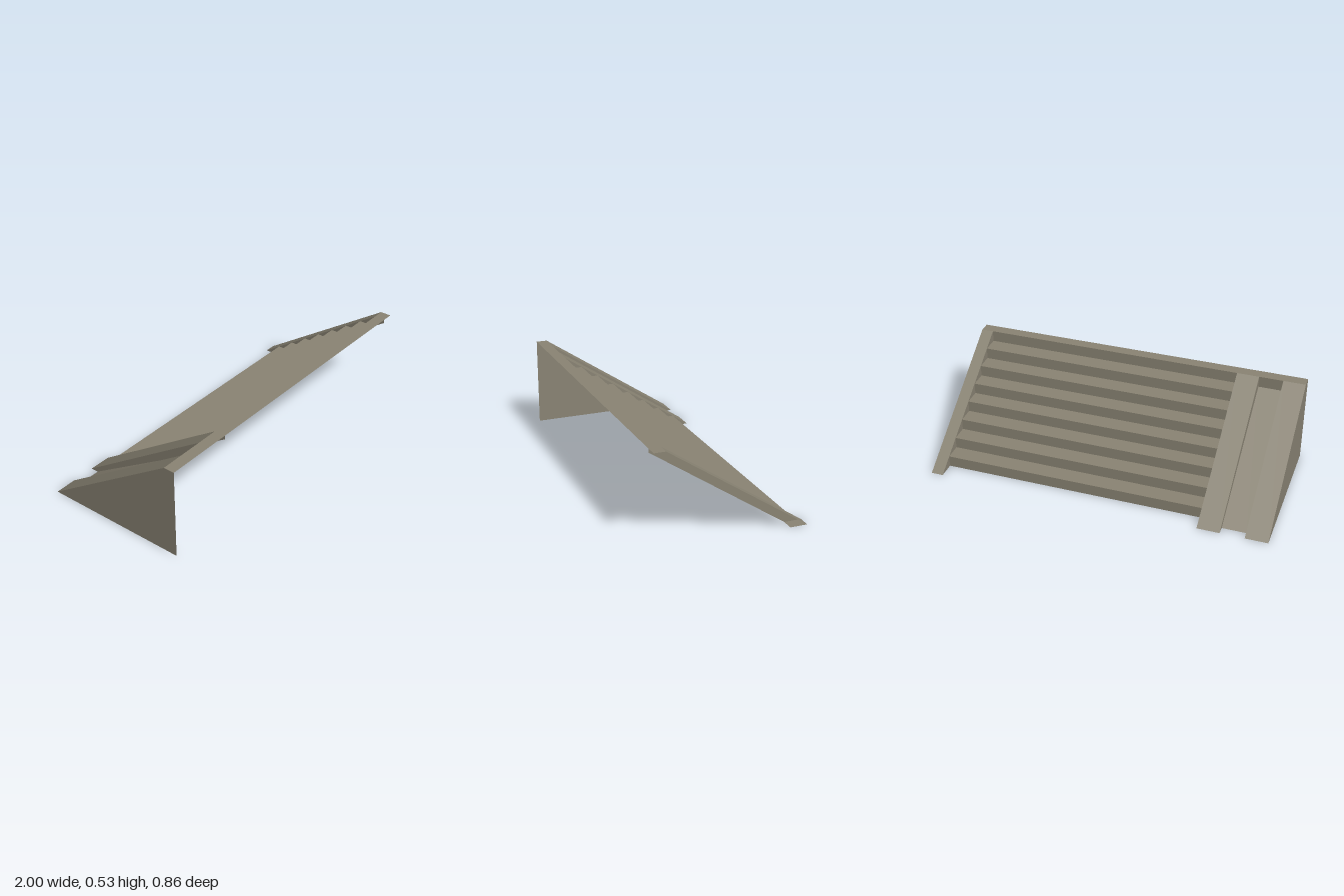
import * as THREE from 'three';

const H = 0.533;        // total height
const BACK = -0.432;    // foot of the slope
const FRONT = 0.432;    // front edge of the top lip
const LIP = 0.367;      // where the slope meets the lip
const FOOT = -0.333;    // foot of the first riser
const GROOVE = -0.385;  // foot of the groove floor
const STEPS = 8;

export function createModel() {
  const group = new THREE.Group();
  const stone = new THREE.MeshStandardMaterial({ color: 0x8a8474, side: THREE.DoubleSide });
  stone.name = 'stone';

  const add = (name, geometry) => {
    const mesh = new THREE.Mesh(geometry, stone);
    mesh.name = name;
    group.add(mesh);
  };

  // Sweeps a [z, y] profile from x0 to x1 as a flat-faced sheet facing up and back
  const sheet = (name, profile, x0, x1) => {
    const pos = [];
    for (let i = 0; i < profile.length - 1; i++) {
      const [za, ya] = profile[i];
      const [zb, yb] = profile[i + 1];
      pos.push(x0, ya, za, x0, yb, zb, x1, yb, zb);
      pos.push(x0, ya, za, x1, yb, zb, x1, ya, za);
    }
    const g = new THREE.BufferGeometry();
    g.setAttribute('position', new THREE.Float32BufferAttribute(pos, 3));
    g.computeVertexNormals();
    add(name, g);
  };

  // Upright panel across x, outlined by [z, y] points
  const panel = (name, outline, x) => {
    const g = new THREE.ShapeGeometry(
      new THREE.Shape(outline.map(([z, y]) => new THREE.Vector2(-z, y))));
    g.rotateY(Math.PI / 2);
    g.translate(x, 0, 0);
    add(name, g);
  };

  // Stair flight
  const stairs = [[FOOT, 0]];
  for (let k = 0; k < STEPS; k++) {
    const z = FOOT + ((LIP - FOOT) * k) / (STEPS - 1);
    const y = (H * (k + 1)) / STEPS;
    stairs.push([z, y]);
    if (k < STEPS - 1) stairs.push([z + (LIP - FOOT) / (STEPS - 1), y]);
  }
  sheet('stairs', stairs, -0.6, 0.93);

  // Sloping side ramps
  const slope = [[BACK, 0], [LIP, H]];
  for (const [name, x0, x1] of [
    ['outerRamp', -1, -0.87], ['innerRamp', -0.73, -0.6], ['sideCurb', 0.93, 1],
  ]) sheet(name, slope, x0, x1);

  // Sunken groove between the ramps, with its side walls
  const grooveTop = (H * 7) / 8;
  sheet('groove', [[GROOVE, 0], [LIP, grooveTop], [LIP, H]], -0.87, -0.73);
  for (const x of [-0.87, -0.73]) {
    panel('grooveWall', [[BACK, 0], [GROOVE, 0], [LIP, grooveTop], [LIP, H]], x);
  }

  // Lip along the top
  sheet('topLip', [[LIP, H], [FRONT, H]], -1, 1);

  // Walls flanking the stairs
  for (const x of [-0.6, 0.93]) {
    panel('stairWall', [[BACK, 0], [FOOT, 0], [FRONT, 0.511], [FRONT, H], [LIP, H]], x);
  }

  // Closed end wall
  panel('endWall', [[BACK, 0], [FRONT, 0], [FRONT, H], [LIP, H]], -1);

  // Small plates closing the feet
  sheet('grooveFoot', [[GROOVE, 0], [FOOT, 0]], -0.87, -0.73);
  sheet('rampFoot', [[BACK, 0], [FOOT, 0]], -0.73, -0.6);
  sheet('curbFoot', [[BACK, 0], [FOOT, 0]], 0.93, 1);

  return group;
}
